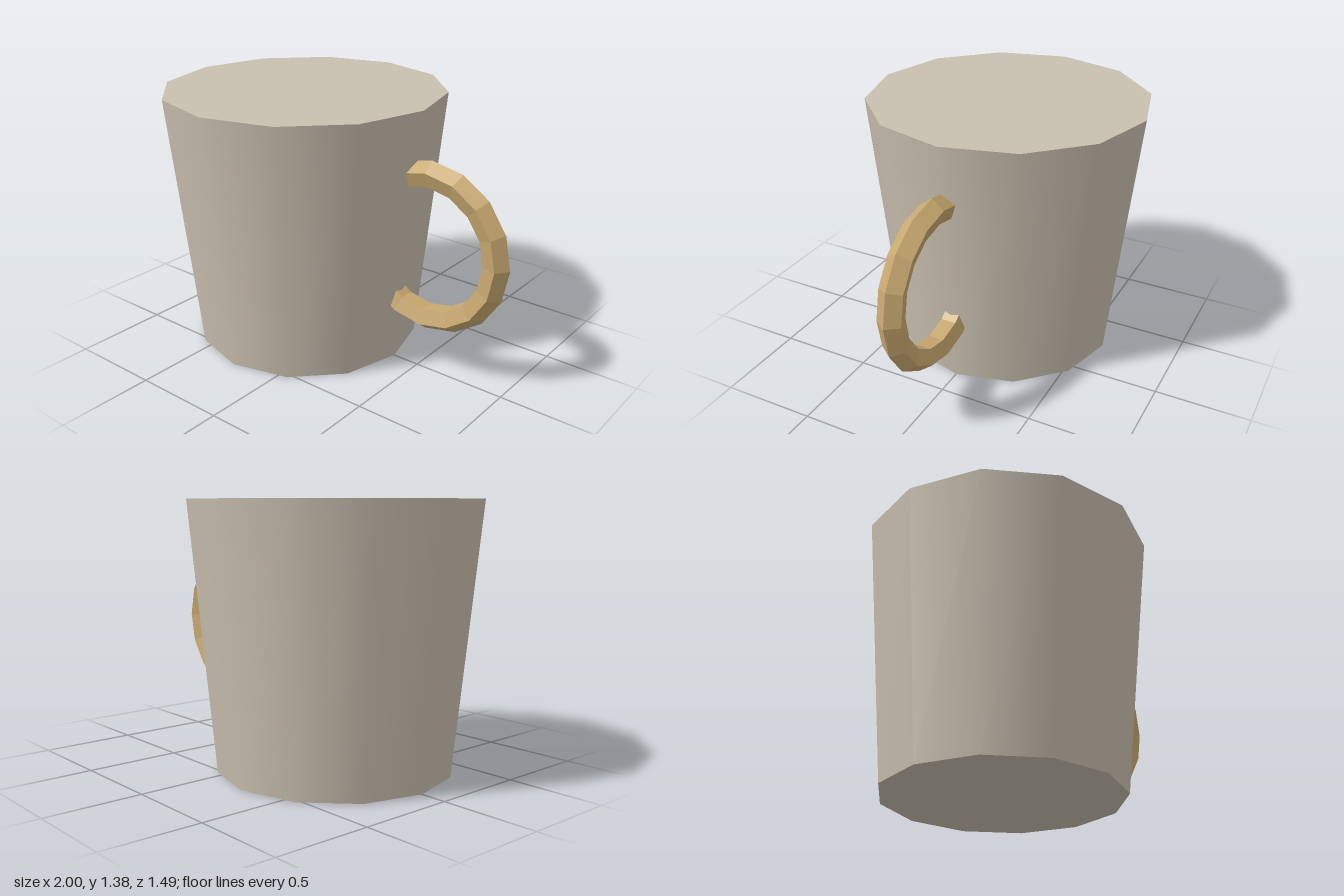
import * as THREE from 'three';

export function createModel() {
  const group = new THREE.Group();
  group.name = 'mug';

  const clay = new THREE.MeshStandardMaterial({ color: 0xc8bfaf });
  clay.name = 'warm grey clay';
  const wood = new THREE.MeshStandardMaterial({ color: 0xc8a870, flatShading: true });
  wood.name = 'tan handle';

  // Tapered twelve-sided body, closed at both ends
  const height = 1.38;
  const body = new THREE.Mesh(new THREE.CylinderGeometry(0.744, 0.607, height, 12), clay);
  body.name = 'body';
  body.position.set(-0.256, height / 2, 0);
  group.add(body);

  // Five-sided ring handle in 22.5 degree steps, its ends buried in the body
  const arc = Math.PI * 1.5;
  const handle = new THREE.Mesh(new THREE.TorusGeometry(0.385, 0.069, 5, 12, arc), wood);
  handle.name = 'handle';
  handle.position.set(0.546, height / 2, 0);
  handle.rotation.z = -arc / 2;
  group.add(handle);

  return group;
}
